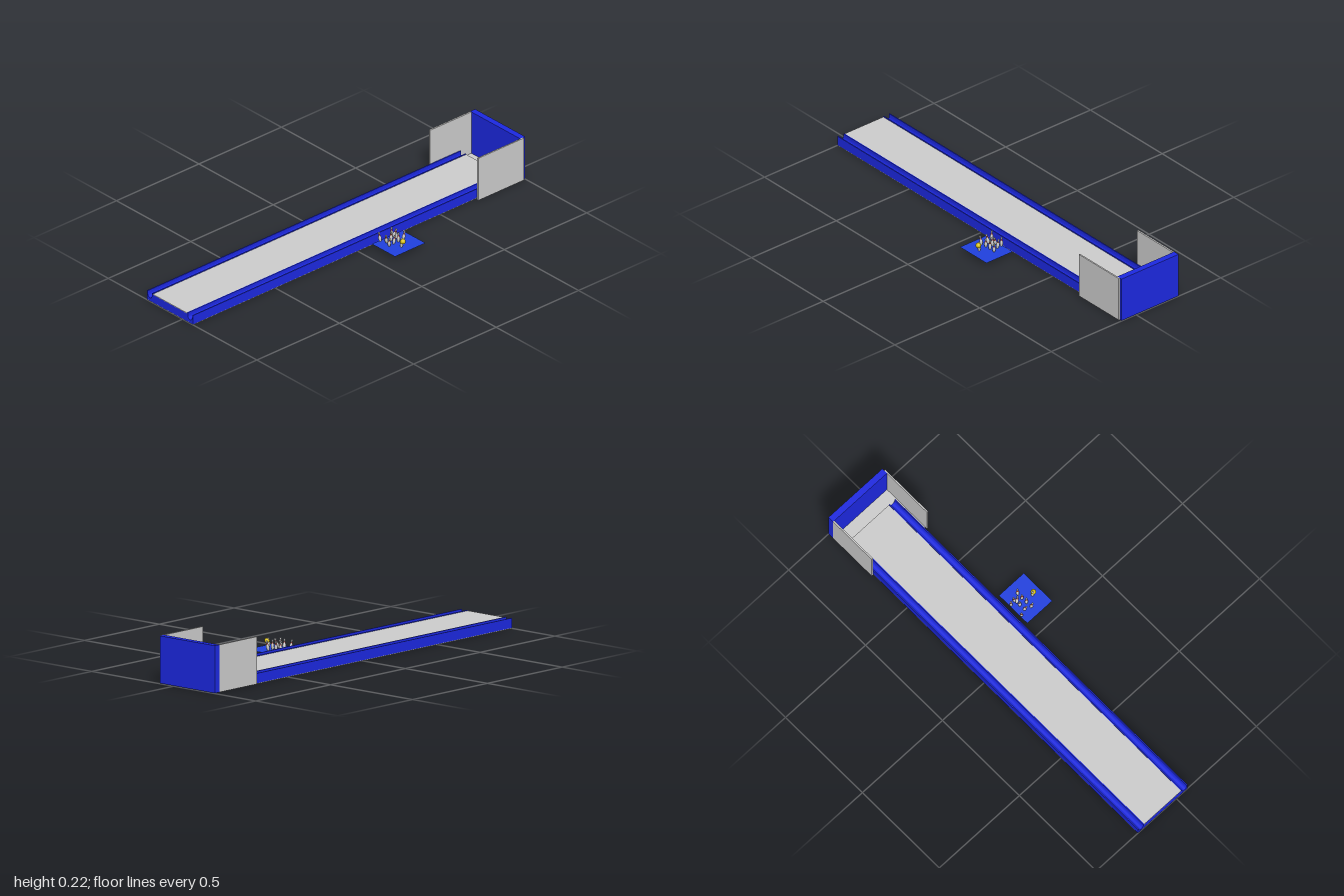
import * as THREE from 'three';

const grey = new THREE.MeshStandardMaterial({ color: 0xcccccc });
const blue = new THREE.MeshStandardMaterial({ color: 0x1c28e0 });
const matBlue = new THREE.MeshStandardMaterial({ color: 0x2040dd, side: THREE.DoubleSide });
const red = new THREE.MeshStandardMaterial({ color: 0xd03020 });
const yellow = new THREE.MeshStandardMaterial({ color: 0xd8c010 });

// Box given by its minimum and maximum corners
function block(name, min, max, material) {
  const size = max.map((v, i) => v - min[i]);
  const mesh = new THREE.Mesh(new THREE.BoxGeometry(...size), material);
  mesh.position.set(...min.map((v, i) => v + size[i] / 2));
  mesh.name = name;
  return mesh;
}

// Channel with a rounded trough, swept along x
function gutter(name, zMin, zMax, x0, x1) {
  const mid = (zMin + zMax) / 2, half = (zMax - zMin) / 2, r = half - 0.005, top = 0.048;
  const s = new THREE.Shape();
  s.moveTo(-half, 0.003);
  s.lineTo(half, 0.003);
  s.lineTo(half, top);
  s.lineTo(r, top);
  for (let i = 0; i <= 10; i++) {
    const a = Math.PI * i / 10;
    s.lineTo(r * Math.cos(a), top - 0.012 - 0.018 * Math.sin(a));
  }
  s.lineTo(-r, top);
  s.lineTo(-half, top);
  const geo = new THREE.ExtrudeGeometry(s, { depth: x1 - x0, bevelEnabled: false });
  geo.rotateY(Math.PI / 2);
  const mesh = new THREE.Mesh(geo, blue);
  mesh.position.set(x0, 0, mid);
  mesh.name = name;
  return mesh;
}

// Pin turned from a profile, with two neck stripes
const pinProfile = new THREE.SplineCurve([
  [0.0042, 0], [0.0062, 0.006], [0.0076, 0.015], [0.0066, 0.023], [0.0041, 0.031],
  [0.0035, 0.035], [0.0045, 0.041], [0.0039, 0.045], [0, 0.047],
].map(p => new THREE.Vector2(...p))).getPoints(28);
pinProfile.unshift(new THREE.Vector2(0, 0));
const pinGeo = new THREE.LatheGeometry(pinProfile, 20);
const stripeGeo = new THREE.CylinderGeometry(0.0041, 0.0046, 0.002, 20);

function pin(x, z, tiltX, tiltZ) {
  const g = new THREE.Group();
  g.name = 'pin';
  const body = new THREE.Mesh(pinGeo, grey);
  body.name = 'pinBody';
  g.add(body);
  for (const [y, k] of [[0.0305, 1.04], [0.0345, 0.9]]) {
    const stripe = new THREE.Mesh(stripeGeo, red);
    stripe.position.y = y;
    stripe.scale.set(k, 1, k);
    stripe.name = 'neckStripe';
    g.add(stripe);
  }
  g.position.set(x, 0.023, z);
  g.rotation.set(tiltX, 0, tiltZ);
  return g;
}

export function createModel() {
  const model = new THREE.Group();
  model.name = 'bowlingLane';

  // Lane with gutters
  model.add(
    block('laneUnderside', [-1, 0, -0.24], [0.9, 0.003, 0.07], grey),
    block('laneBase', [-1, 0.003, -0.2], [0.9, 0.042, 0.03], blue),
    block('laneSurface', [-1, 0.042, -0.2], [0.9, 0.045, 0.03], grey),
    gutter('backGutter', -0.24, -0.2, -1, 0.9),
    gutter('frontGutter', 0.03, 0.07, -1, 0.9),
  );

  // Pit at the end of the lane
  model.add(
    block('pitFloor', [0.72, 0.002, -0.25], [0.99, 0.006, 0.088], grey),
    block('pitEndWall', [0.97, 0.002, -0.251], [1, 0.22, 0.085], blue),
    block('pitBackPanel', [0.72, 0.002, -0.251], [0.97, 0.22, -0.243], grey),
    block('pitFrontPanel', [0.71, 0.002, 0.085], [0.988, 0.22, 0.092], grey),
  );

  // Mat beside the lane
  const mat = new THREE.Mesh(new THREE.PlaneGeometry(0.185, 0.155), matBlue);
  mat.rotation.x = -Math.PI / 2;
  mat.position.set(0.157, 0.023, 0.17);
  mat.name = 'mat';
  model.add(mat);

  // Pins, some of them leaning
  const pins = [
    [0.145, 0.202, 0, 0],
    [0.11, 0.158, 0.15, 0.1], [0.138, 0.157, 0.1, -0.1], [0.167, 0.157, 0, 0], [0.195, 0.157, 0.1, -0.15],
    [0.122, 0.127, 0.15, 0.2], [0.15, 0.127, 0, 0], [0.18, 0.125, -0.1, -0.1],
    [0.11, 0.099, -0.1, 0.1], [0.178, 0.099, 0, 0],
  ];
  for (const p of pins) model.add(pin(...p));

  // Pin knocked into the air
  const flying = pin(0.165, 0.122, 0.35, -0.2);
  flying.position.y = 0.036;
  model.add(flying);

  // Ball
  const ball = new THREE.Mesh(new THREE.SphereGeometry(0.0125, 24, 16), yellow);
  ball.position.set(0.147, 0.054, 0.209);
  ball.name = 'ball';
  model.add(ball);

  return model;
}
